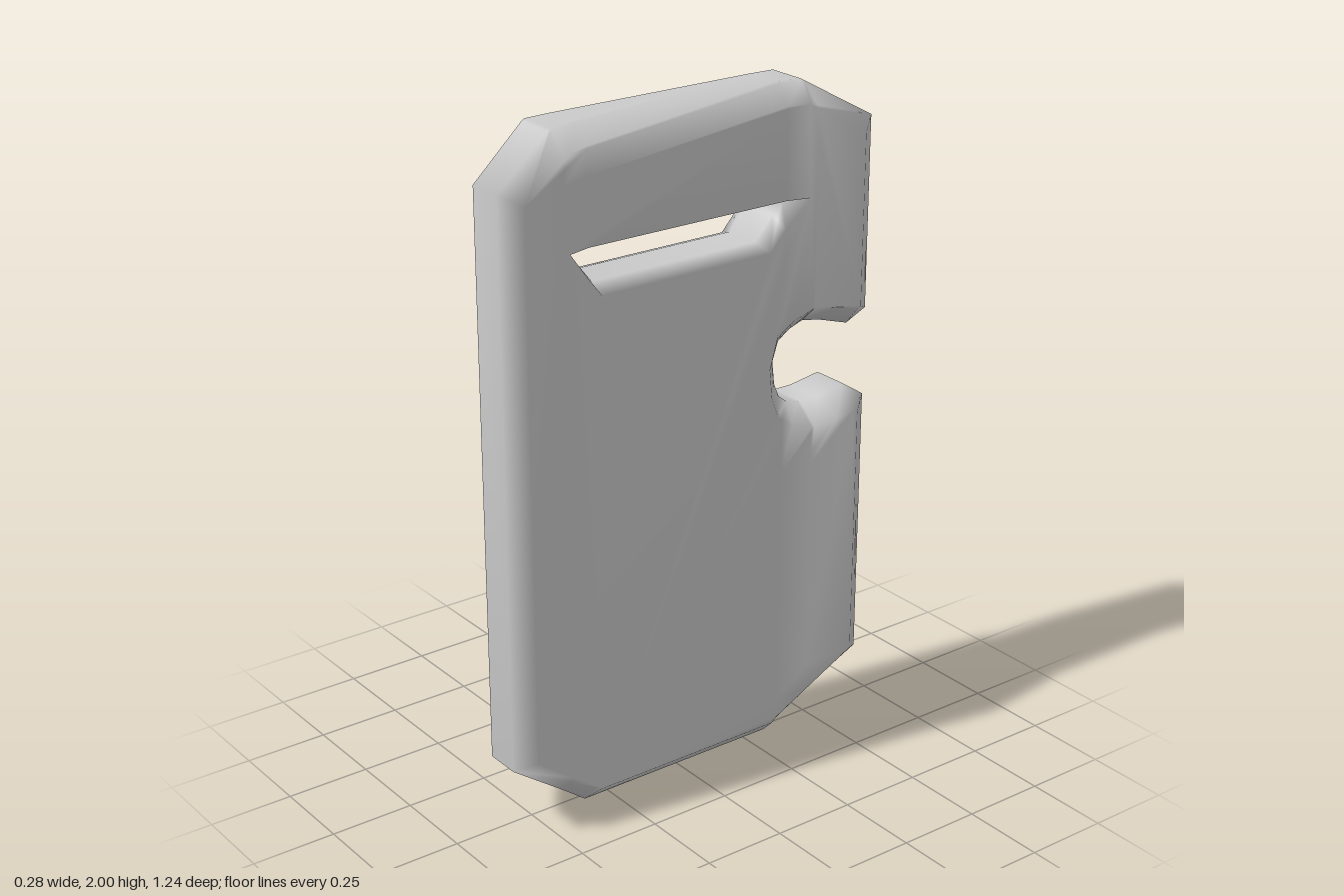
import * as THREE from 'three';
import { mergeVertices } from 'three/addons/utils/BufferGeometryUtils.js';

const V2 = (p) => new THREE.Vector2(p[0], p[1]);

// Plate outline, counter-clockwise as seen from +x (u = -z, y up), with the side notch
const OUTLINE = [
  [-0.33, 0], [0.33, 0], [0.615, 0.23], [0.615, 1.05], [0.555, 1.09],
  [0.48, 1.06], [0.43, 1.05], [0.385, 1.06], [0.36, 1.08], [0.345, 1.12], [0.338, 1.19],
  [0.355, 1.25], [0.39, 1.28], [0.43, 1.3], [0.48, 1.295], [0.56, 1.275],
  [0.615, 1.315], [0.615, 1.88], [0.41, 2], [-0.41, 2], [-0.62, 1.88], [-0.62, 0.23],
].map(V2);

// Viewing slot, clockwise
const SLOT = [[-0.28, 1.56], [-0.36, 1.66], [0.36, 1.66], [0.27, 1.56]].map(V2);

const BACK = -0.137, FRONT = 0.08;
// Cross-section of the rim: [x, share of the bevel inset]
const RIM = [[BACK, 0.9], [-0.09, 0], [0.02, 0], [FRONT, 1.1]];

// Shift every edge of a loop towards the material, with mitred corners
function inset(loop, amount) {
  return loop.map((p, i) => {
    const a = p.clone().sub(loop[(i + loop.length - 1) % loop.length]).normalize();
    const b = loop[(i + 1) % loop.length].clone().sub(p).normalize();
    const n = new THREE.Vector2(-a.y - b.y, a.x + b.x);
    return p.clone().addScaledVector(n, amount / (1 + a.dot(b)));
  });
}

// Split triangles along the plane z = c so that the plate can fold there
function slice(triangles, c) {
  const out = [];
  for (const tri of triangles) {
    for (const side of [1, -1]) {
      const poly = [];
      tri.forEach((p, i) => {
        const q = tri[(i + 1) % 3];
        const dp = (p.z - c) * side, dq = (q.z - c) * side;
        if (dp >= -1e-6) poly.push(p);
        if ((dp > 1e-6 && dq < -1e-6) || (dp < -1e-6 && dq > 1e-6)) {
          poly.push(p.clone().lerp(q, dp / (dp - dq)));
        }
      });
      if (!poly.some((p) => (p.z - c) * side > 1e-6)) continue;
      for (let i = 1; i + 1 < poly.length; i++) out.push([poly[0], poly[i], poly[i + 1]]);
    }
  }
  return out;
}

// Fold both side wings towards +x
function fold(p) {
  const t = (p.x - BACK) / (FRONT - BACK);
  const back = Math.max(0, Math.abs(p.z) - 0.42) * 0.41;
  const front = Math.max(0, Math.abs(p.z) - 0.33) * 0.26;
  return [p.x + back + (front - back) * t, p.y, p.z];
}

function plateGeometry() {
  let triangles = [];
  const place = (p, x) => new THREE.Vector3(x, p.y, -p.x);
  const loops = [[OUTLINE, 0.05], [SLOT, 0.018]];

  // Rim walls and bevels around the outline and the slot
  for (const [loop, bevel] of loops) {
    const rings = RIM.map(([x, k]) => inset(loop, bevel * k).map((p) => place(p, x)));
    for (let r = 0; r < 3; r++) {
      loop.forEach((_, i) => {
        const j = (i + 1) % loop.length;
        const [a, b, c, d] = [rings[r][i], rings[r][j], rings[r + 1][j], rings[r + 1][i]];
        triangles.push([a, b, c], [a, c, d]);
      });
    }
  }

  // Broad faces
  for (const [x, k] of [RIM[0], RIM[3]]) {
    const [outer, hole] = loops.map(([loop, bevel]) => inset(loop, bevel * k));
    const points = [...outer, ...hole].map((p) => place(p, x));
    for (const [a, b, c] of THREE.ShapeUtils.triangulateShape(outer, [hole])) {
      triangles.push(x > 0 ? [points[a], points[b], points[c]] : [points[a], points[c], points[b]]);
    }
  }

  for (const c of [-0.42, -0.33, 0.33, 0.42]) triangles = slice(triangles, c);

  const geometry = new THREE.BufferGeometry();
  const positions = triangles.flat().flatMap(fold);
  geometry.setAttribute('position', new THREE.Float32BufferAttribute(positions, 3));
  const smooth = mergeVertices(geometry, 1e-4);
  smooth.computeVertexNormals();
  return smooth;
}

export function createModel() {
  const group = new THREE.Group();
  group.name = 'shield';
  const plate = new THREE.Mesh(
    plateGeometry(),
    new THREE.MeshStandardMaterial({ color: 0xcccccc }),
  );
  plate.name = 'shieldPlate';
  group.add(plate);
  return group;
}
